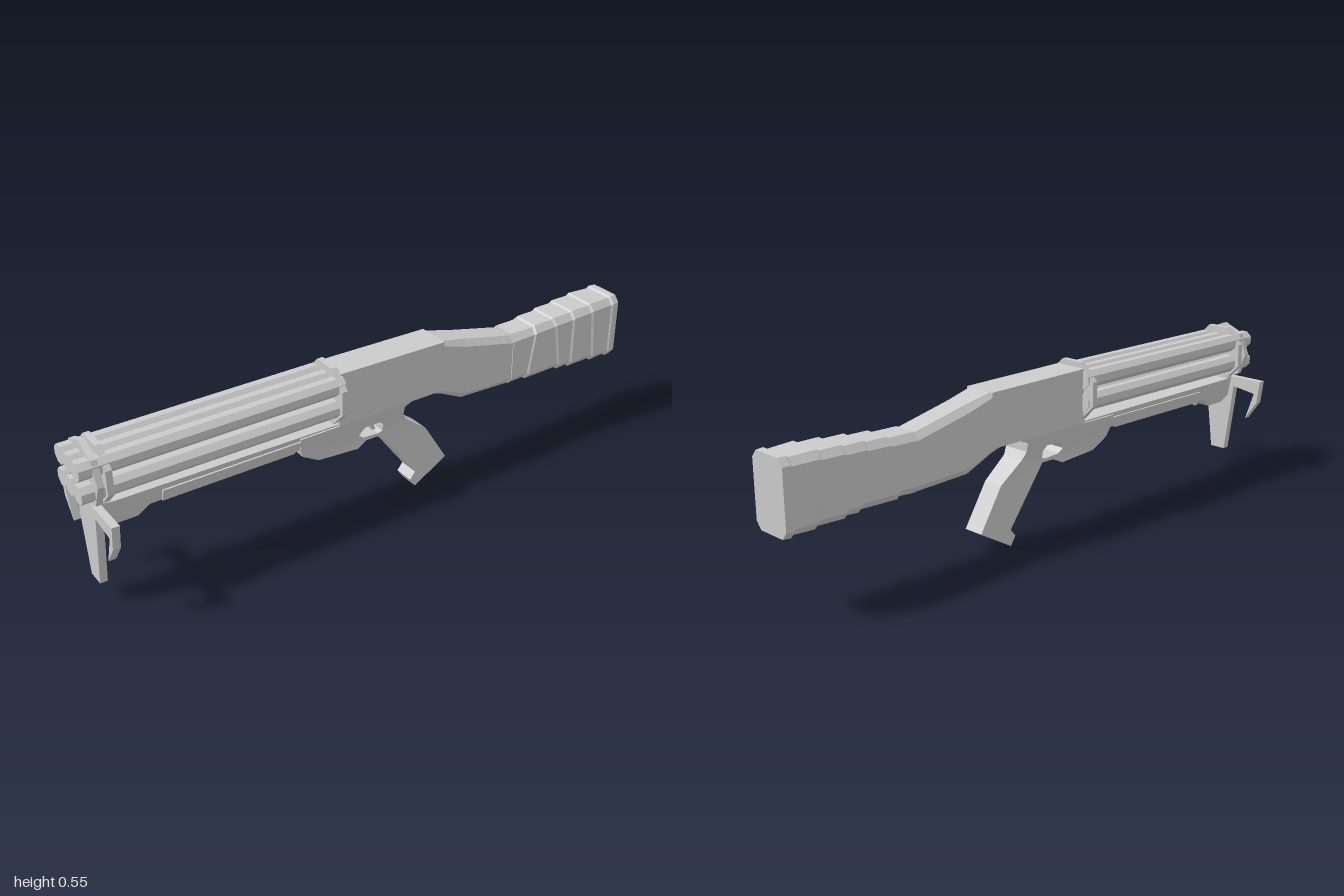
import * as THREE from 'three';

const material = new THREE.MeshStandardMaterial({ color: 0xcccccc, flatShading: true });

function add(parent, name, geometry) {
  const mesh = new THREE.Mesh(geometry, material);
  mesh.name = name;
  parent.add(mesh);
  return mesh;
}

const points = (list) => list.map(([x, y]) => new THREE.Vector2(x, y));

// Side profile extruded evenly to both sides of its plane
function slab(profile, half, holes = []) {
  const shape = new THREE.Shape(points(profile));
  holes.forEach((h) => shape.holes.push(new THREE.Path(points(h))));
  const g = new THREE.ExtrudeGeometry(shape, { depth: 2 * half, bevelEnabled: false });
  return g.translate(0, 0, -half);
}

// Rescale the half width according to height
function taper(geometry, half, widthAt) {
  const p = geometry.attributes.position;
  for (let i = 0; i < p.count; i++) {
    p.setZ(i, Math.sign(p.getZ(i)) * widthAt(p.getY(i), p.getX(i)));
  }
  geometry.computeVertexNormals();
  return geometry;
}

// Chamfered rectangular sections joined along x: [x, bottom, top, half width, chamfer, bottom shift]
function loft(stations) {
  const pos = [], idx = [];
  for (const [x, lo, hi, w, c, shift = 0] of stations) {
    const ring = [[hi, -w + c], [hi, w - c], [hi - c * 1.2, w], [lo + c * 1.2, w],
      [lo, w - c], [lo, -w + c], [lo + c * 1.2, -w], [hi - c * 1.2, -w]];
    for (const [y, z] of ring) pos.push(x + shift * (hi - y) / (hi - lo), y, z);
  }
  const last = (stations.length - 1) * 8;
  for (let i = 0; i < last; i += 8) {
    for (let j = 0; j < 8; j++) {
      const k = (j + 1) % 8;
      idx.push(i + j, i + k, i + 8 + j, i + k, i + 8 + k, i + 8 + j);
    }
  }
  for (let j = 1; j < 7; j++) idx.push(last, last + j, last + j + 1, 0, j + 1, j);
  let g = new THREE.BufferGeometry();
  g.setAttribute('position', new THREE.Float32BufferAttribute(pos, 3));
  g.setIndex(idx);
  g = g.toNonIndexed();
  g.computeVertexNormals();
  return g;
}

const mix = THREE.MathUtils.mapLinear;
const clamp = THREE.MathUtils.clamp;

export function createModel() {
  const root = new THREE.Group();
  root.name = 'multiBarrelGun';

  // Two rows of three octagonal barrels
  const barrels = new THREE.Group();
  barrels.name = 'barrels';
  root.add(barrels);
  for (const y of [0.415, 0.49]) {
    for (const z of [-0.054, 0, 0.054]) {
      const g = new THREE.CylinderGeometry(0.031, 0.031, 0.86, 8);
      g.rotateY(Math.PI / 8).rotateZ(Math.PI / 2);
      add(barrels, 'barrel', g).position.set(-0.57, y, z);
    }
  }

  // Plates that clamp the barrels: [x, radius, turn]
  for (const [x, r, turn] of [[-0.95, 0.104, 0], [-0.92, 0.104, Math.PI / 8], [-0.155, 0.105, Math.PI / 8]]) {
    const g = new THREE.CylinderGeometry(r, r, 0.02, 8);
    g.rotateY(turn).rotateZ(Math.PI / 2);
    add(root, 'barrelPlate', g).position.set(x, 0.446, 0);
  }

  // Receiver
  add(root, 'receiver', slab([[-0.15, 0.345], [0.25, 0.345], [0.25, 0.52], [-0.15, 0.525]], 0.057));

  // Trigger housing and grip narrow toward the bottom
  const lower = [[-0.29, 0.345], [-0.285, 0.30], [-0.275, 0.27], [-0.215, 0.235], [-0.07, 0.225],
    [-0.035, 0.245], [0.02, 0.245], [0.16, 0.055], [0.14, 0.03], [0.16, 0], [0.285, 0.072],
    [0.2, 0.21], [0.115, 0.275], [0.1, 0.30], [0.1, 0.33], [0.125, 0.345]];
  const guardHole = [[-0.068, 0.275], [-0.048, 0.302], [0.01, 0.302], [0.024, 0.287],
    [0.024, 0.262], [0.01, 0.256], [-0.05, 0.26]];
  add(root, 'gripAndTriggerHousing', taper(slab(lower, 0.05, [guardHole]), 0.05,
    (y) => clamp(mix(y, 0.255, 0.345, 0.036, 0.057), 0.036, 0.057)));
  add(root, 'trigger', slab([[-0.005, 0.305], [0.015, 0.305], [0.008, 0.28], [0.018, 0.256],
    [0.004, 0.258], [-0.006, 0.28]], 0.01));

  // Fore-end under the barrels with a raised hand panel
  add(root, 'foreEnd', taper(slab([[-0.935, 0.29], [-0.9, 0.267], [-0.825, 0.267], [-0.79, 0.297],
    [-0.15, 0.30], [-0.15, 0.35], [-0.9, 0.355], [-0.935, 0.36]], 0.05), 0.05,
  (y) => clamp(mix(y, 0.267, 0.345, 0.034, 0.052), 0.034, 0.052)));
  add(root, 'handPanel', taper(slab([[-0.75, 0.296], [-0.31, 0.296], [-0.27, 0.335],
    [-0.75, 0.335]], 0.05), 0.05, (y) => (y > 0.32 ? 0.055 : 0.046)));

  // Stock wrist
  add(root, 'stockWrist', loft([
    [0.21, 0.345, 0.515, 0.056, 0.004],
    [0.25, 0.328, 0.519, 0.057, 0.012],
    [0.34, 0.283, 0.498, 0.056, 0.018],
    [0.56, 0.274, 0.448, 0.055, 0.018],
  ]));

  // Wrapped butt: overlapping bands with slanted seams
  const bands = [
    [0.54, 0.274, 0.457, 0.058, 0.00], [0.64, 0.272, 0.464, 0.063, -0.03],
    [0.72, 0.269, 0.471, 0.067, 0.03], [0.80, 0.266, 0.477, 0.071, 0.00],
    [0.88, 0.262, 0.483, 0.074, 0.02], [0.975, 0.257, 0.486, 0.073, 0.00],
  ];
  const butt = [];
  bands.forEach(([x, lo, hi, w, shift], i) => {
    if (i) butt.push([x - 0.006, lo + 0.006, hi - 0.006, w - 0.005, 0.018, shift]);
    butt.push([x, lo, hi, w, 0.019, shift]);
  });
  butt.push([1, 0.258, 0.485, 0.07, 0.019]);
  add(root, 'stockButt', loft(butt));

  // Hooked side arms and the central front leg
  const arm = [[0, 0.36], [0, 0.31], [0.06, 0.325], [0.152, 0.312], [0.119, 0.215], [0.165, 0.28], [0.176, 0.36]];
  for (const side of [1, -1]) {
    const profile = arm.map(([z, y]) => [z * side, y]);
    add(root, side > 0 ? 'leftHook' : 'rightHook', slab(profile, 0.012).rotateY(-Math.PI / 2)).position.x = -0.95;
  }
  add(root, 'frontLeg', slab([[-0.065, 0.36], [-0.052, 0.25], [-0.029, 0.08], [0.029, 0.08],
    [0.052, 0.25], [0.065, 0.36]], 0.012).rotateY(-Math.PI / 2)).position.x = -0.95;

  return root;
}
